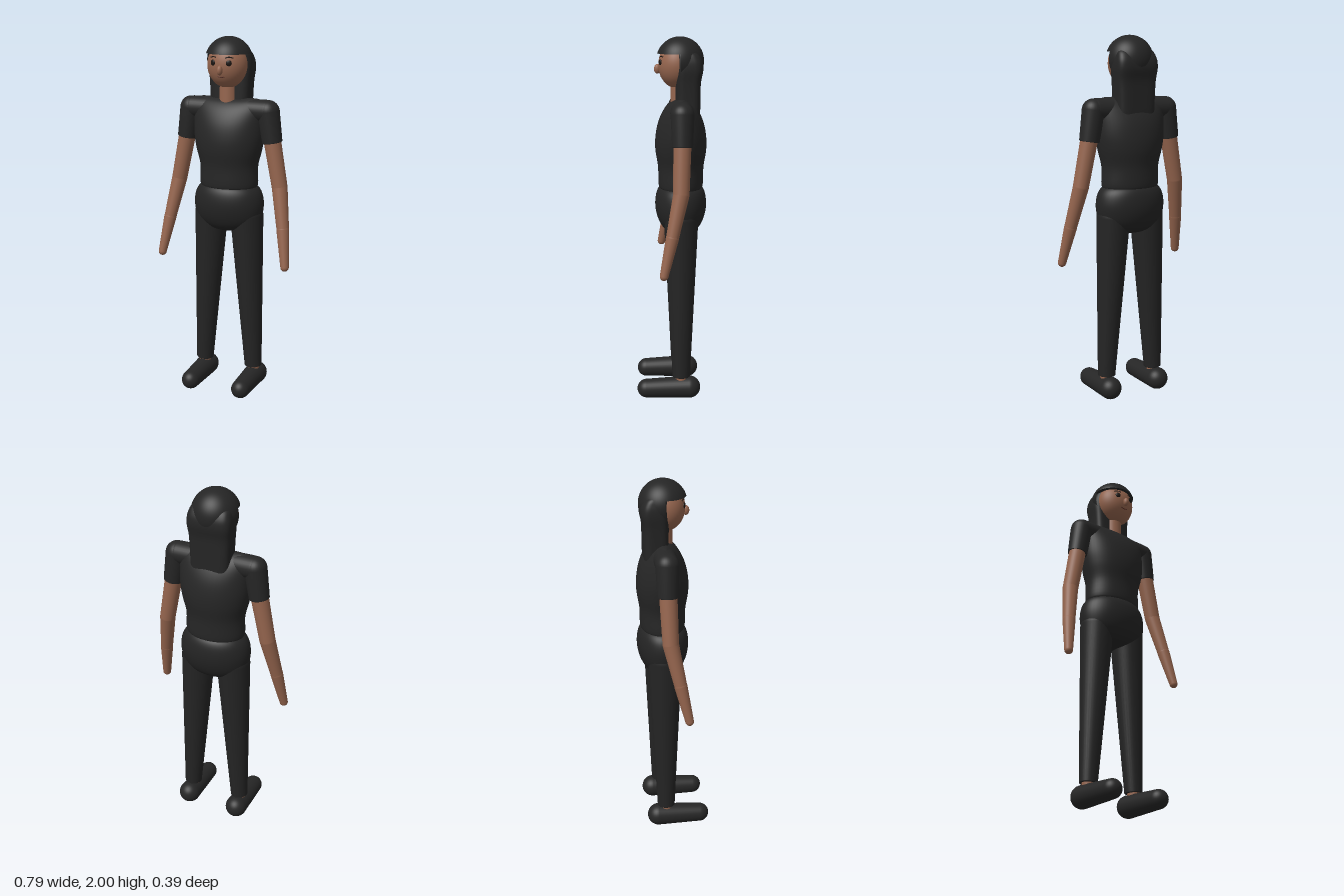
import * as THREE from 'three';

const material = (name, color) => {
  const m = new THREE.MeshStandardMaterial({ color });
  m.name = name;
  return m;
};

const Z = -0.05; // body axis depth

// Tapered capsule from a to b; the b end can be cut flat
function capsule(a, ra, b, rb, flatEnd = false) {
  const from = new THREE.Vector3(...a), dir = new THREE.Vector3(...b).sub(from);
  const length = dir.length(), points = [], steps = 10;
  for (let i = 0; i <= steps; i++) {
    const t = (i / steps) * Math.PI / 2;
    points.push(new THREE.Vector2(ra * Math.sin(t), -ra * Math.cos(t)));
  }
  if (flatEnd) {
    points.push(new THREE.Vector2(rb, length - 0.003), new THREE.Vector2(rb - 0.003, length), new THREE.Vector2(0, length));
  } else {
    for (let i = 0; i <= steps; i++) {
      const t = (i / steps) * Math.PI / 2;
      points.push(new THREE.Vector2(rb * Math.cos(t), length + rb * Math.sin(t)));
    }
  }
  const geometry = new THREE.LatheGeometry(points, 32);
  geometry.applyQuaternion(new THREE.Quaternion().setFromUnitVectors(new THREE.Vector3(0, 1, 0), dir.normalize()));
  return geometry.translate(...a);
}

// Smooth loft through [y, halfWidth, halfDepth] sections, bottom to top
function loft(sections, centreZ, power = 2, rows = 48, cols = 48) {
  const curve = new THREE.CatmullRomCurve3(sections.map(s => new THREE.Vector3(...s)));
  const bend = v => Math.sign(v) * Math.abs(v) ** (2 / power);
  const positions = [], index = [];
  for (let i = 0; i <= rows; i++) {
    const s = curve.getPoint(i / rows);
    for (let j = 0; j < cols; j++) {
      const t = (j / cols) * Math.PI * 2;
      positions.push(s.y * bend(Math.cos(t)), s.x, centreZ(s.z) + s.z * bend(Math.sin(t)));
      if (i === rows) continue;
      const a = i * cols + j, c = i * cols + (j + 1) % cols;
      index.push(a, a + cols, c, a + cols, c + cols, c);
    }
  }
  const geometry = new THREE.BufferGeometry();
  geometry.setAttribute('position', new THREE.Float32BufferAttribute(positions, 3));
  geometry.setIndex(index);
  geometry.computeVertexNormals();
  return geometry;
}

export function createModel() {
  const skin = material('skin', 0x95654e);
  const hair = material('hair', 0x252525);
  const shirt = material('shirt', 0x262626);
  const trousers = material('trousers', 0x242424);
  const shoes = material('shoes', 0x262626);
  const eyeDark = material('eyeDark', 0x1c1613);
  const lips = material('lips', 0x5a3026);
  hair.side = THREE.DoubleSide;

  const model = new THREE.Group();
  model.name = 'figure';
  const add = (name, geometry, mat, parent = model) => {
    const mesh = new THREE.Mesh(geometry, mat);
    mesh.name = name;
    parent.add(mesh);
    return mesh;
  };
  const axis = () => Z;

  // Shirt body and shoulder line
  add('shirtBody', loft([
    [1.18, 0, 0], [1.18, 0.155, 0.112], [1.19, 0.165, 0.12], [1.3, 0.166, 0.125], [1.39, 0.188, 0.139], [1.46, 0.2, 0.139],
    [1.54, 0.203, 0.124], [1.61, 0.205, 0.092], [1.65, 0.2, 0.058], [1.67, 0.18, 0.025], [1.67, 0, 0],
  ], axis), shirt);
  add('shoulderYoke', capsule([-0.215, 1.608, Z], 0.062, [0.215, 1.608, Z], 0.062), shirt);

  // Trouser seat
  add('hips', loft([
    [0.925, 0, 0], [0.935, 0.09, 0.06], [0.96, 0.15, 0.098], [1.0, 0.186, 0.122], [1.05, 0.199, 0.137],
    [1.1, 0.201, 0.141], [1.15, 0.19, 0.134], [1.18, 0.17, 0.12], [1.192, 0.145, 0.1], [1.192, 0, 0],
  ], axis), trousers);

  // Arms, legs and feet, mirrored
  for (const [side, s] of [['left', 1], ['right', -1]]) {
    const limb = new THREE.Group();
    limb.name = side + 'Limbs';
    model.add(limb);
    const part = (name, mat, a, ra, b, rb, flat) =>
      add(side + name, capsule([s * a[0], a[1], a[2]], ra, [s * b[0], b[1], b[2]], rb, flat), mat, limb);
    const elbow = [0.303, 1.2, -0.042], wrist = [0.343, 0.975, 0.006];
    part('Sleeve', shirt, [0.228, 1.607, Z], 0.062, [0.254, 1.44, Z], 0.055, true);
    part('UpperArm', skin, [0.245, 1.5, Z], 0.048, elbow, 0.043);
    part('Forearm', skin, elbow, 0.043, wrist, 0.034);
    part('Hand', skin, wrist, 0.035, [0.373, 0.778, 0.05], 0.023);
    part('TrouserLeg', trousers, [0.107, 1.02, Z], 0.093, [0.153, 0.125, Z], 0.049, true);
    part('Ankle', skin, [0.153, 0.2, Z], 0.035, [0.154, 0.09, Z], 0.035);
    part('Shoe', shoes, [0.155, 0.062, -0.095], 0.062, [0.155, 0.056, 0.145], 0.052);
  }

  // Neck and head
  const neck = new THREE.CylinderGeometry(0.049, 0.052, 0.16, 32);
  add('neck', neck.translate(0, 1.71, -0.045), skin);
  const centre = [0, 1.85, -0.03], radii = [0.112, 0.125, 0.102];
  add('head', new THREE.SphereGeometry(1, 48, 32).scale(...radii).translate(...centre), skin);
  const faceZ = (x, y) => centre[2] + radii[2] *
    Math.sqrt(1 - (x / radii[0]) ** 2 - ((y - centre[1]) / radii[1]) ** 2);

  // Face
  const faceLine = (name, points, radius, mat) => {
    const path = new THREE.CatmullRomCurve3(points.map(([x, y]) => new THREE.Vector3(x, y, faceZ(x, y))));
    add(name, new THREE.TubeGeometry(path, 12, radius, 8), mat);
  };
  add('nose', new THREE.SphereGeometry(1, 24, 16).scale(0.015, 0.026, 0.018).translate(0, 1.829, 0.077), skin);
  for (const [side, s] of [['left', 1], ['right', -1]]) {
    const eye = add(side + 'Eye', new THREE.SphereGeometry(1, 20, 14).scale(0.0155, 0.0155, 0.006), eyeDark);
    eye.position.set(s * 0.046, 1.867, faceZ(0.046, 1.867));
    eye.rotation.y = s * 0.4;
    faceLine(side + 'Brow', [[s * 0.025, 1.894], [s * 0.045, 1.898], [s * 0.065, 1.893]], 0.003, eyeDark);
  }
  faceLine('mouth', [[-0.02, 1.795], [0, 1.791], [0.02, 1.795]], 0.003, lips);

  // Hair: crown with straight fringe, rounded back and long drape
  const r = 0.129, hairZ = -0.045, hairY = 1.871, fringe = Math.acos(0.04 / r);
  add('hairCrown', new THREE.SphereGeometry(r, 48, 20, 0, Math.PI * 2, 0, fringe).translate(0, hairY, hairZ), hair);
  add('fringeUnderside', new THREE.CircleGeometry(r * Math.sin(fringe), 48).rotateX(Math.PI / 2)
    .translate(0, hairY + 0.04, hairZ), hair);
  add('hairBack', new THREE.SphereGeometry(r, 32, 24, Math.PI, Math.PI, 0, 2.0).translate(0, hairY, hairZ), hair);
  add('hairDrape', loft([
    [1.5, 0, 0], [1.5, 0.105, 0.062], [1.58, 0.11, 0.066], [1.67, 0.113, 0.067], [1.76, 0.118, 0.068],
    [1.83, 0.124, 0.074], [1.88, 0.119, 0.07], [1.92, 0.1, 0.055], [1.93, 0, 0],
  ], depth => -0.02 - Math.max(depth, 0.055), 4), hair);

  return model;
}
